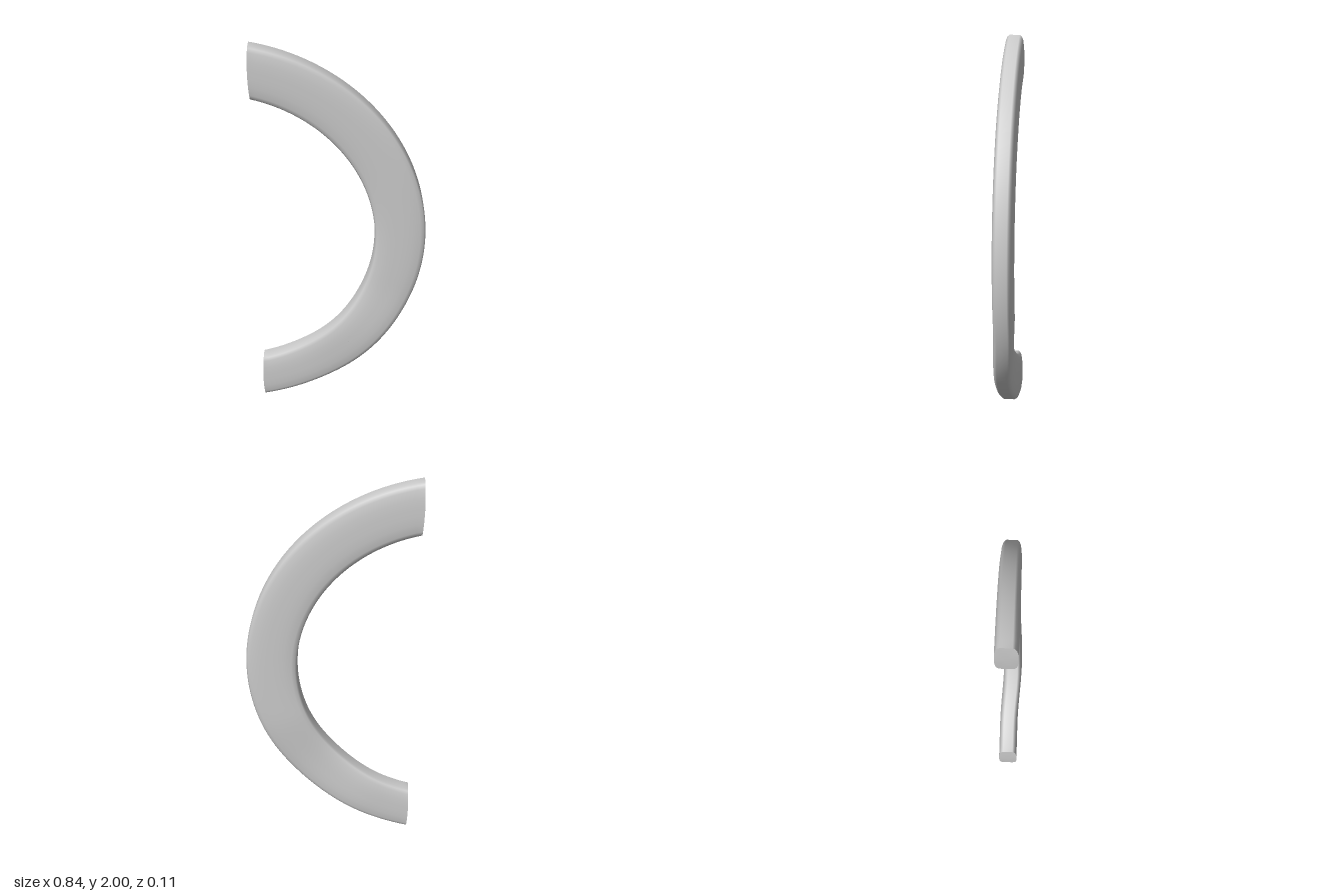
import * as THREE from 'three';

const CX = -0.6, CY = 1, R = 0.892, W = 0.125; // arc centre, mid radius, half width
const STEPS = 72;

// Flattened cross-section: [radial offset, depth], listed as one closed loop
function sectionLoop() {
  const side = [[0.125, 0.026], [0.117, 0.036], [0.1, 0.043], [0.06, 0.048], [0.02, 0.049]];
  const front = [...side, ...side.map(([u, z]) => [-u, z]).reverse()];
  return [...front, ...front.map(([u, z]) => [u, -z]).reverse()];
}

// Depth of the centre line: nearly flat, with a gentle forward swell low down
function depthAt(theta) {
  const d = (theta + 0.73) / 0.42;
  return -0.008 + (Math.abs(d) < 1 ? 0.0075 * (1 + Math.cos(Math.PI * d)) : 0);
}

// Point on the bar; t runs from -1 (lower end) to 1 (upper end), ends cut upright
function barPoint(t, u, z) {
  const r = R + u;
  const endX = -0.415 - 0.006 * (1 - (u / W) ** 2);
  const theta = t * Math.acos((endX - CX) / r);
  return [CX + r * Math.cos(theta), CY + r * Math.sin(theta), z + depthAt(theta)];
}

function geometryFrom(positions, index) {
  const g = new THREE.BufferGeometry();
  g.setAttribute('position', new THREE.Float32BufferAttribute(positions, 3));
  g.setIndex(index);
  g.computeVertexNormals();
  return g;
}

function barGeometry(loop) {
  const n = loop.length, pos = [], idx = [];
  for (let i = 0; i <= STEPS; i++) {
    for (const [u, z] of loop) pos.push(...barPoint(-1 + 2 * i / STEPS, u, z));
  }
  for (let i = 0; i < STEPS; i++) {
    for (let k = 0; k < n; k++) {
      const a = i * n + k, c = i * n + (k + 1) % n;
      idx.push(a, a + n, c, c, a + n, c + n);
    }
  }
  return geometryFrom(pos, idx);
}

// Slightly domed end face
function capGeometry(loop, t) {
  const n = loop.length, idx = [];
  const centre = barPoint(t, 0, 0);
  centre[0] -= 0.002;
  const pos = [...centre];
  for (const [u, z] of loop) pos.push(...barPoint(t, u, z));
  for (let k = 0; k < n; k++) {
    const a = 1 + k, b = 1 + (k + 1) % n;
    idx.push(0, ...(t < 0 ? [a, b] : [b, a]));
  }
  return geometryFrom(pos, idx);
}

export function createModel() {
  const group = new THREE.Group();
  group.name = 'curvedBar';
  const material = new THREE.MeshStandardMaterial({ color: 0xcccccc, side: THREE.DoubleSide });
  const add = (name, geometry) => {
    const mesh = new THREE.Mesh(geometry, material);
    mesh.name = name;
    group.add(mesh);
    return mesh;
  };

  const loop = sectionLoop();
  add('bar', barGeometry(loop));
  add('lowerEnd', capGeometry(loop, -1));
  add('upperEnd', capGeometry(loop, 1));

  // Small triangular mark on the front of the swell
  const triangle = new THREE.Shape([
    new THREE.Vector2(0.037, 0.37), new THREE.Vector2(0.087, 0.418), new THREE.Vector2(0.037, 0.418),
  ]);
  const mark = add('triangleMark', new THREE.ExtrudeGeometry(triangle, { depth: 0.006, bevelEnabled: false }));
  mark.position.z = 0.051;

  return group;
}
